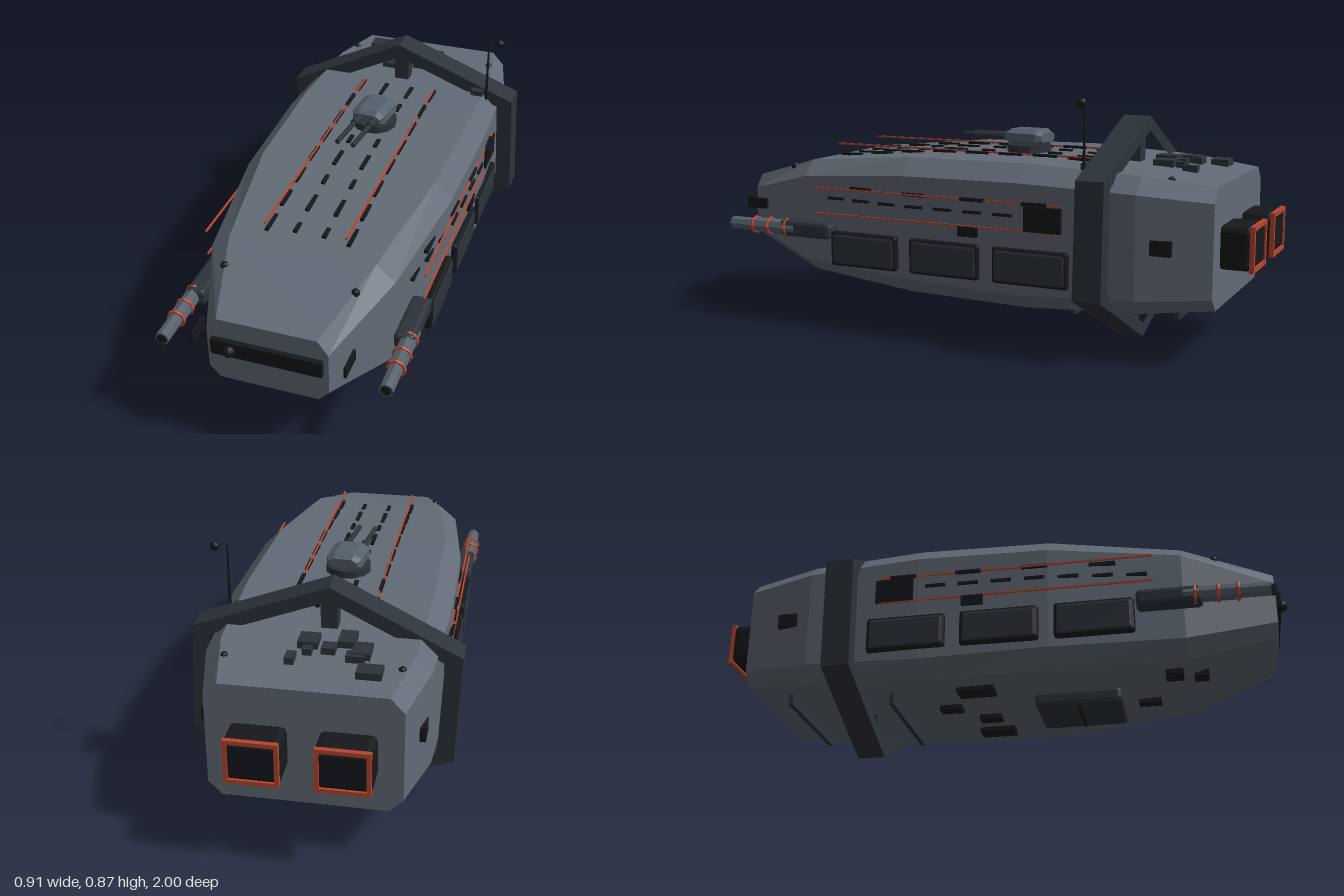
import * as THREE from 'three';
import { RoundedBoxGeometry } from 'three/addons/geometries/RoundedBoxGeometry.js';

const mat = (color) => new THREE.MeshStandardMaterial({ color, flatShading: true });
const hullMat = mat(0x626b76), frameMat = mat(0x2d333b), blackMat = mat(0x15181c);
const redMat = mat(0xb8452f), metalMat = mat(0x55606b);

// hull stations: z, half width, half width of flat, top, side top, side bottom, bottom
const STATIONS = [
  [0.957, 0.2, 0.165, 0.51, 0.462, 0.315, 0.276],
  [0.65, 0.315, 0.25, 0.595, 0.54, 0.23, 0.18],
  [0.2, 0.375, 0.315, 0.635, 0.575, 0.21, 0.152],
  [-0.25, 0.385, 0.325, 0.64, 0.58, 0.2, 0.146],
  [-0.65, 0.368, 0.315, 0.62, 0.565, 0.218, 0.166],
  [-0.89, 0.31, 0.265, 0.594, 0.545, 0.235, 0.19],
];

// value of one station column at any z
function hullAt(z, col) {
  for (let i = 0; i < STATIONS.length - 1; i++) {
    const a = STATIONS[i], b = STATIONS[i + 1];
    if (z >= b[0]) return THREE.MathUtils.mapLinear(z, a[0], b[0], a[col], b[col]);
  }
  return STATIONS[STATIONS.length - 1][col];
}

function hullGeometry() {
  const pos = [], idx = [], n = STATIONS.length;
  for (const [z, w, f, t, st, sb, b] of STATIONS) {
    for (const [x, y] of [[w, sb], [w, st], [f, t], [-f, t], [-w, st], [-w, sb], [-f, b], [f, b]]) pos.push(x, y, z);
  }
  for (let s = 0; s < n - 1; s++) {
    for (let i = 0; i < 8; i++) {
      const a = s * 8 + i, b = s * 8 + (i + 1) % 8;
      idx.push(a, a + 8, b + 8, a, b + 8, b);
    }
  }
  const e = (n - 1) * 8;
  for (let i = 1; i < 7; i++) idx.push(0, i, i + 1, e, e + i + 1, e + i);
  const g = new THREE.BufferGeometry();
  g.setAttribute('position', new THREE.Float32BufferAttribute(pos, 3));
  g.setIndex(idx);
  const flat = g.toNonIndexed();
  flat.computeVertexNormals();
  return flat;
}

export function createModel() {
  const root = new THREE.Group();
  const add = (name, geo, material, x = 0, y = 0, z = 0, parent = root) => {
    const m = new THREE.Mesh(geo, material);
    m.name = name;
    m.position.set(x, y, z);
    parent.add(m);
    return m;
  };
  const box = (name, material, w, h, d, x, y, z, parent) =>
    add(name, new THREE.BoxGeometry(w, h, d), material, x, y, z, parent);
  const rbox = (name, material, w, h, d, r, x, y, z, parent) =>
    add(name, new RoundedBoxGeometry(w, h, d, 1, r), material, x, y, z, parent);
  const tubeZ = (name, material, r, len, x, y, z, parent, sides = 8) =>
    add(name, new THREE.CylinderGeometry(r, r, len, sides).rotateX(Math.PI / 2), material, x, y, z, parent);

  add('hull', hullGeometry(), hullMat);

  // hexagonal ring frame, slightly tilted
  const hex = [[-0.02, 0.39], [0.435, 0.217], [0.453, -0.173], [0.02, -0.39], [-0.435, -0.217], [-0.453, 0.173]];
  const pts = (s) => hex.map(([x, y]) => new THREE.Vector2(x * s, y * s));
  const ring = new THREE.Shape(pts(1));
  ring.holes.push(new THREE.Path(pts(0.87)));
  add('ringFrame', new THREE.ExtrudeGeometry(ring, { depth: 0.098, bevelEnabled: false }), frameMat, 0, 0.393, -0.567);
  box('upperStrut', frameMat, 0.055, 0.13, 0.05, -0.015, 0.68, -0.517);
  box('lowerStrut', frameMat, 0.055, 0.13, 0.05, 0.015, 0.105, -0.517);

  // front window strip and sensor
  box('frontWindow', blackMat, 0.366, 0.056, 0.03, 0, 0.412, 0.96);
  add('frontSensor', new THREE.SphereGeometry(0.02, 10, 8), blackMat, -0.118, 0.412, 0.98);

  for (const s of [-1, 1]) {
    // engines with square glowing rims
    rbox('engine', blackMat, 0.18, 0.145, 0.12, 0.02, s * 0.14, 0.39, -0.935);
    for (const e of [-1, 1]) {
      box('engineRim', redMat, 0.172, 0.014, 0.016, s * 0.14, 0.39 + e * 0.069, -0.992);
      box('engineRim', redMat, 0.014, 0.15, 0.016, s * 0.14 + e * 0.079, 0.39, -0.992);
    }

    // side guns
    const gun = new THREE.Group();
    gun.name = 'sideGun';
    gun.position.set(s * 0.375, 0.355, 0);
    root.add(gun);
    rbox('gunMount', frameMat, 0.07, 0.06, 0.22, 0.015, -s * 0.012, 0, 0.605, gun);
    tubeZ('gunSleeve', metalMat, 0.028, 0.18, 0, 0, 0.74, gun);
    tubeZ('gunBarrel', metalMat, 0.024, 0.14, 0, 0, 0.865, gun);
    tubeZ('muzzleBore', blackMat, 0.018, 0.01, 0, 0, 0.932, gun);
    for (const z of [0.69, 0.765, 0.83]) add('gunRing', new THREE.TorusGeometry(0.029, 0.006, 6, 8), redMat, 0, 0, z, gun);

    // side armour panels
    for (const [z, d] of [[0.355, 0.27], [0.033, 0.27], [-0.29, 0.275]]) {
      rbox('sidePanel', blackMat, 0.03, 0.125, d, 0.01, s * 0.382, 0.298, z);
      rbox('sidePanelFace', frameMat, 0.034, 0.111, d - 0.014, 0.01, s * 0.383, 0.298, z);
    }

    // side stripes, dashes and hatches
    for (const y of [0.42, 0.513]) box('sideStripe', redMat, 0.006, 0.006, 0.945, s * 0.385, y, 0.083);
    for (let i = 0; i < 8; i++) {
      const z = 0.5 - i * 0.115;
      const x = s * (hullAt(z, 1) + 0.001);
      box('sideDash', blackMat, 0.014, 0.01, 0.07, x, 0.47, z);
      if (i % 2) box('sideDash', blackMat, 0.016, 0.012, 0.09, x, 0.513, z);
    }
    box('sideHatch', blackMat, 0.02, 0.085, 0.133, s * 0.382, 0.463, -0.335);
    box('sideVent', blackMat, 0.02, 0.035, 0.075, s * 0.382, 0.402, -0.06);
    box('rearVent', blackMat, 0.02, 0.05, 0.07, s * 0.35, 0.397, -0.73);
    box('noseFin', blackMat, 0.008, 0.04, 0.09, s * 0.253, 0.412, 0.915);

    // top stripes and dashes
    box('topStripe', redMat, 0.006, 0.006, 1.02, s * 0.139, 0.645, 0.105);
    for (let i = 0; i < 8; i++) {
      const z = -0.37 + i * 0.132;
      const y = hullAt(z, 3) + 0.002;
      box('topDash', blackMat, 0.012, 0.01, 0.09, s * 0.141, y + 0.002, z);
      if (i !== 2) box('topDash', blackMat, 0.014, 0.01, i % 2 ? 0.05 : 0.09, s * 0.05, y, z);
    }

    // small corner lights
    for (const [x, z] of [[0.28, -0.74], [0.22, 0.76]]) {
      add('cornerLight', new THREE.SphereGeometry(0.014, 8, 6), blackMat, s * x, hullAt(z, 3) - 0.004, z);
    }
  }

  // roof turret, turned a little to its right
  const turret = new THREE.Group();
  turret.name = 'turret';
  turret.position.set(-0.003, 0, -0.115);
  turret.rotation.y = -0.1;
  root.add(turret);
  add('turretBase', new THREE.CylinderGeometry(0.08, 0.08, 0.03, 12), frameMat, 0, 0.65, 0, turret);
  const oct = [[0.063, 0.015], [0.035, 0.029], [-0.035, 0.029], [-0.063, 0.015], [-0.063, -0.015], [-0.035, -0.029], [0.035, -0.029], [0.063, -0.015]];
  const head = new THREE.ExtrudeGeometry(new THREE.Shape(oct.map(([x, y]) => new THREE.Vector2(x, y))),
    { depth: 0.11, bevelThickness: 0.02, bevelSize: 0.012, bevelOffset: -0.012, bevelSegments: 1 });
  add('turretHead', head, metalMat, 0, 0.692, -0.055, turret);
  for (const s of [-1, 1]) {
    tubeZ('turretSleeve', frameMat, 0.014, 0.06, s * 0.03, 0.692, 0.09, turret);
    tubeZ('turretBarrel', frameMat, 0.009, 0.2, s * 0.03, 0.692, 0.16, turret);
  }

  // antenna
  add('antenna', new THREE.CylinderGeometry(0.003, 0.006, 0.25, 6), blackMat, 0.335, 0.735, -0.46);
  add('antennaBall', new THREE.SphereGeometry(0.016, 10, 8), blackMat, 0.375, 0.853, -0.465);
  box('antennaBase', frameMat, 0.045, 0.03, 0.03, 0.3, 0.635, -0.458);

  // rear roof blocks: x, z, width, depth
  for (const [x, z, w, d] of [[-0.185, -0.78, 0.08, 0.06], [-0.13, -0.71, 0.06, 0.04], [-0.145, -0.675, 0.06, 0.075],
    [-0.09, -0.615, 0.055, 0.08], [-0.04, -0.675, 0.045, 0.045], [0.025, -0.695, 0.03, 0.03],
    [0.03, -0.64, 0.065, 0.07], [0.07, -0.74, 0.03, 0.05]]) {
    box('roofBlock', frameMat, w, 0.034, d, x, hullAt(z, 3) + 0.004, z);
  }

  // belly pod, hatches and bars
  rbox('bellyPod', frameMat, 0.24, 0.055, 0.305, 0.015, 0, 0.131, 0.262);
  box('bellyPodSlot', blackMat, 0.2, 0.01, 0.012, 0, 0.104, 0.262);
  for (const [x, z, w, d] of [[-0.155, 0.6, 0.075, 0.06], [0.065, 0.5, 0.04, 0.08], [-0.09, 0.69, 0.06, 0.05],
    [0.2, -0.08, 0.07, 0.13], [-0.2, -0.08, 0.07, 0.13], [0.06, -0.08, 0.05, 0.08], [-0.06, -0.2, 0.05, 0.08]]) {
    box('bellyHatch', blackMat, w, 0.026, d, x, hullAt(z, 6) - 0.003, z);
  }
  for (const z of [-0.38, -0.75]) box('bellyBar', frameMat, 0.44, 0.045, 0.016, 0, hullAt(z, 6) - 0.018, z);

  return root;
}
